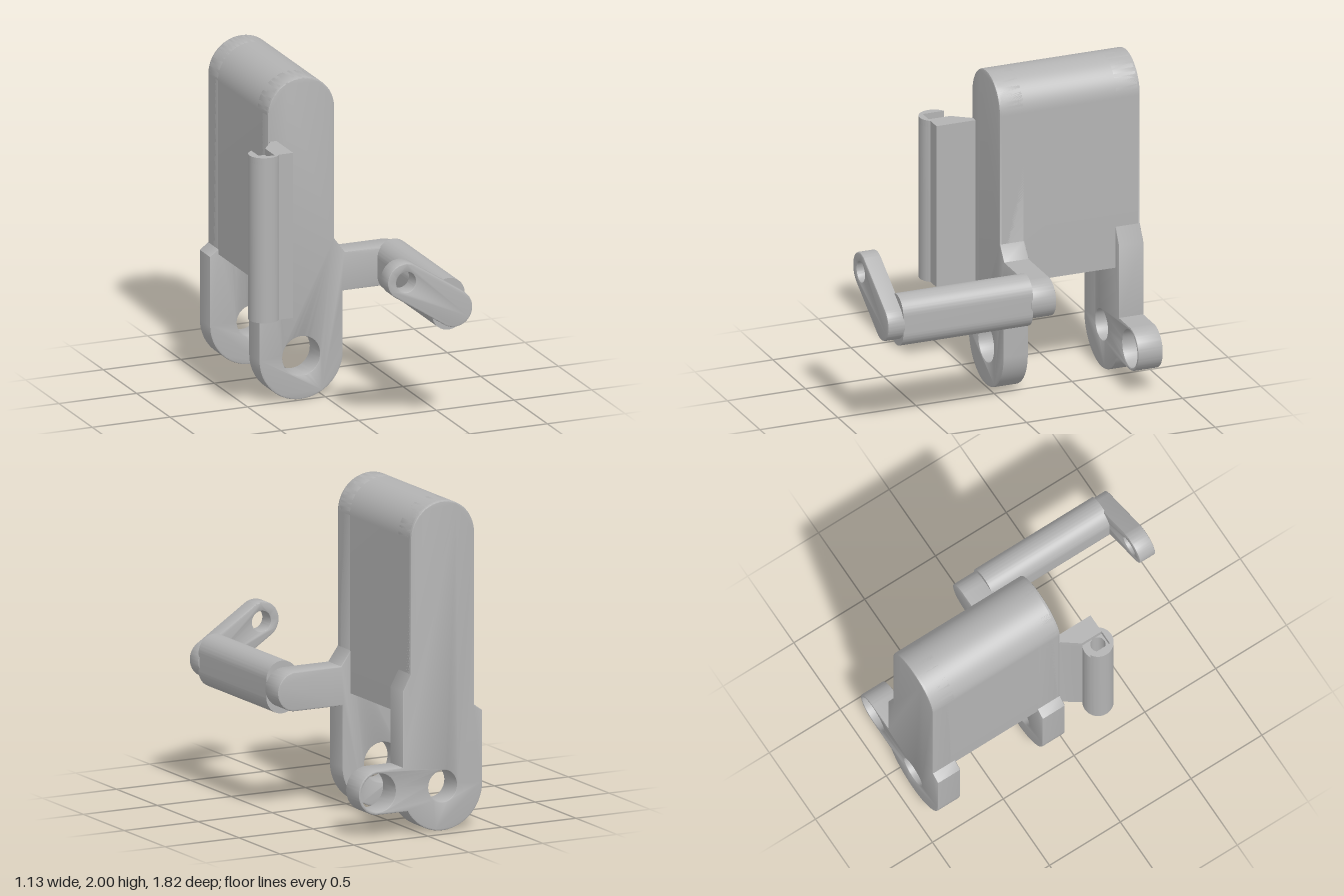
import * as THREE from 'three';
import { toCreasedNormals } from 'three/addons/utils/BufferGeometryUtils.js';

const PI = Math.PI;
const BODY_X = -0.15, BODY_R = 0.215, LUG_R = 0.27, LUG_Y = 0.27;

function addHole(shape, x, y, r) {
  const hole = new THREE.Path();
  hole.absarc(x, y, r, 0, 2 * PI, true);
  shape.holes.push(hole);
}

// Capsule outline between two points
function capsule(x1, y1, x2, y2, r) {
  const a = Math.atan2(y2 - y1, x2 - x1);
  const s = new THREE.Shape();
  s.absarc(x2, y2, r, a - PI / 2, a + PI / 2);
  s.absarc(x1, y1, r, a + PI / 2, a + 1.5 * PI);
  s.closePath();
  return s;
}

// Solid between two z values, with slightly softened edges
function extrude(shape, z0, z1, bevel) {
  const g = new THREE.ExtrudeGeometry(shape, {
    depth: z1 - z0 - 2 * bevel, curveSegments: 24, bevelEnabled: bevel > 0,
    bevelSize: bevel, bevelThickness: bevel, bevelOffset: -bevel, bevelSegments: 2,
  });
  g.translate(0, 0, z0 + bevel);
  return toCreasedNormals(g, 0.7);
}

// End plate: tall rounded top, wider lug below, side feature on +x
function plateShape(lugEndAngle, addSide, holeRadius) {
  const s = new THREE.Shape();
  s.absarc(BODY_X, LUG_Y, LUG_R, PI, 2 * PI + lugEndAngle);
  addSide(s);
  s.lineTo(BODY_X + BODY_R, 0.97);
  s.absarc(BODY_X, 2 - BODY_R, BODY_R, 0, PI);
  s.lineTo(BODY_X - BODY_R, 0.74);
  s.lineTo(BODY_X - LUG_R, 0.7);
  s.closePath();
  addHole(s, BODY_X, LUG_Y, holeRadius);
  return s;
}

// Rail cross-section in (x, z), optionally with a square notch
function railShape(notched) {
  const s = new THREE.Shape();
  s.moveTo(-0.31, -0.02);
  s.lineTo(-0.31, 0.24);
  s.lineTo(-0.4, 0.24);
  s.absarc(-0.475, 0.185, 0.093, 0.63, notched ? 4.2 : 5.23);
  if (notched) {
    s.lineTo(-0.52, 0.24);
    s.lineTo(-0.43, 0.24);
    s.lineTo(-0.43, 0.1);
  } else {
    addHole(s, -0.475, 0.185, 0.045);
  }
  s.lineTo(-0.355, 0);
  s.lineTo(-0.355, -0.02);
  s.closePath();
  return s;
}

export function createModel() {
  const model = new THREE.Group();
  model.name = 'hingeBracket';
  const grey = new THREE.MeshStandardMaterial({ color: 0xb3b3b3 });
  grey.name = 'plain grey';

  const add = (name, geometry) => {
    const mesh = new THREE.Mesh(geometry, grey);
    mesh.name = name;
    model.add(mesh);
    return mesh;
  };

  // Thick core with a rounded top
  const core = new THREE.Shape();
  core.moveTo(BODY_X - BODY_R, 0.71);
  core.lineTo(BODY_X + BODY_R, 0.71);
  core.absarc(BODY_X, 2 - BODY_R, BODY_R, 0, PI);
  core.closePath();
  add('bodyCore', extrude(core, -0.895, -0.025, 0));

  // Front plate with lug and shaft arm
  const front = plateShape(0, s => {
    s.lineTo(0.12, 0.64);
    s.absarc(0.435, 0.76, 0.12, -PI / 2, PI / 2);
    s.lineTo(0.13, 0.88);
  }, 0.12);
  add('frontPlate', extrude(front, -0.17, -0.01, 0.008));

  // Rear plate with lug and side ring
  const rear = plateShape(-0.502, s => {
    s.absarc(0.283, 0.275, 0.135, -PI / 2, PI / 2);
    s.lineTo(0.12, 0.41);
    s.lineTo(0.12, 0.87);
  }, 0.095);
  addHole(rear, 0.283, 0.275, 0.115);
  add('rearPlate', extrude(rear, -0.91, -0.75, 0.008));

  // Shaft and crank
  add('shaft', extrude(capsule(0.445, 0.705, 0.445, 0.815, 0.105), -0.02, 0.81, 0));
  const crank = capsule(0.125, 0.967, 0.445, 0.757, 0.113);
  addHole(crank, 0.13, 0.962, 0.062);
  add('crank', extrude(crank, 0.8, 0.91, 0.008));

  // Upright rail: bored lower length and notched top
  const railPart = (name, notched, bottom, top) => {
    const g = extrude(railShape(notched), 0, top - bottom, 0);
    g.rotateX(PI / 2);
    add(name, g).position.y = top;
  };
  railPart('rail', false, 0.6, 1.585);
  railPart('railNotchedTop', true, 1.585, 1.625);

  return model;
}
